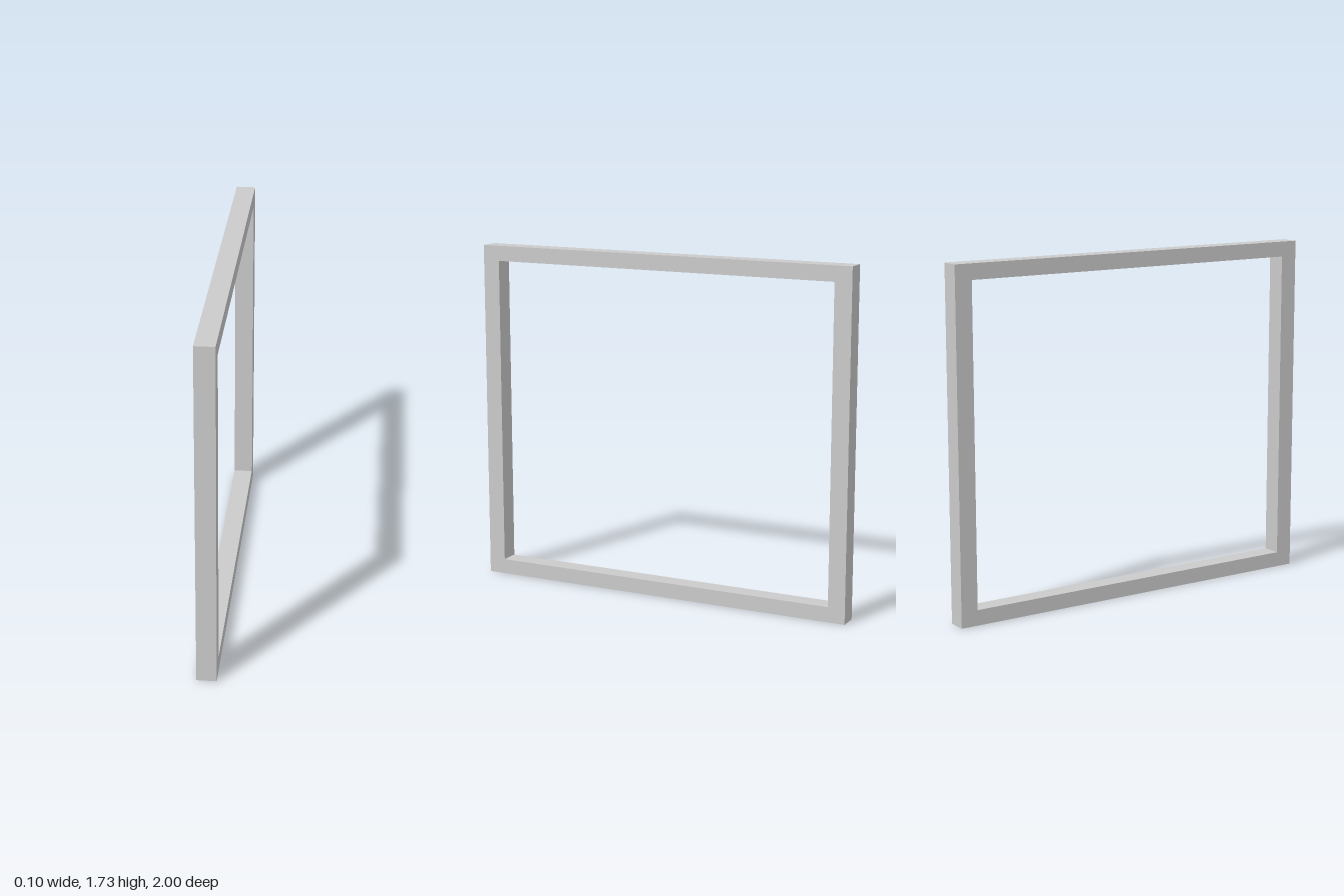
import * as THREE from 'three';

const HEIGHT = 1.734, LENGTH = 2, DEPTH = 0.097;
const POST = 0.088, RAIL = 0.077; // face widths of the uprights and rails

// Closed rectangle, wound counter-clockwise
function rectangle(target, halfWidth, bottom, top) {
  target.moveTo(-halfWidth, bottom);
  target.lineTo(halfWidth, bottom);
  target.lineTo(halfWidth, top);
  target.lineTo(-halfWidth, top);
  target.closePath();
  return target;
}

export function createModel() {
  const group = new THREE.Group();
  group.name = 'rectangularFrame';

  // Outer outline with the open centre cut out
  const outline = rectangle(new THREE.Shape(), LENGTH / 2, 0, HEIGHT);
  outline.holes.push(rectangle(new THREE.Path(), LENGTH / 2 - POST, RAIL, HEIGHT - RAIL));

  // Extrude, centre the thickness, and turn the frame to face along x
  const geometry = new THREE.ExtrudeGeometry(outline, { depth: DEPTH, bevelEnabled: false });
  geometry.translate(0, 0, -DEPTH / 2);
  geometry.rotateY(Math.PI / 2);

  const frame = new THREE.Mesh(
    geometry,
    new THREE.MeshStandardMaterial({ color: 0xcccccc, flatShading: true })
  );
  frame.name = 'frame';
  group.add(frame);
  return group;
}
